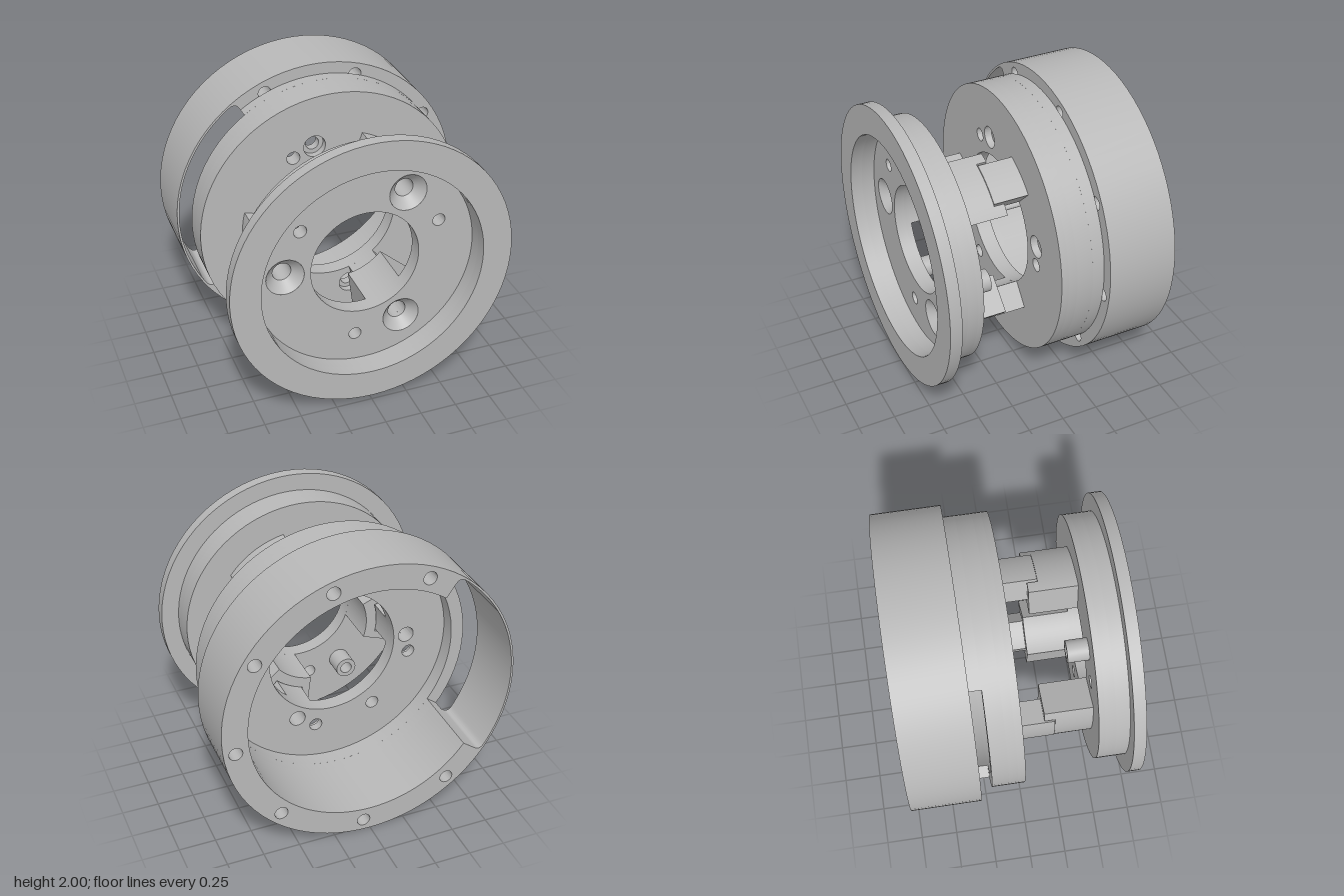
import * as THREE from 'three';
import { toCreasedNormals } from 'three/addons/utils/BufferGeometryUtils.js';

const rad = (deg) => deg * Math.PI / 180;
const polar = (r, deg) => [r * Math.cos(rad(deg)), r * Math.sin(rad(deg))];

// Angles of the features around the axis
const SCREWS = [58.5, 178.5, 298.5];
const PINS = [-1.5, 118.5, 238.5];
const VENTS = [23, 143, 263];
const BOLTS = [12.5, 102.5, 192.5, 282.5];
const RIM_HOLES = [-127, -87, -47, -7, 33, 73, 113];
const POCKET = [125, 216];

export function createModel() {
  const model = new THREE.Group();
  const grey = new THREE.MeshStandardMaterial({ color: 0xb8b8b8 });
  grey.name = 'machined grey';

  const circle = (r, x = 0, y = 0) => new THREE.Path().absarc(x, y, r, 0, Math.PI * 2, false);
  const holesAt = (angles, r, size) => angles.map((a) => circle(size, ...polar(r, a)));
  const disc = (r, holes) => {
    const s = new THREE.Shape().absarc(0, 0, r, 0, Math.PI * 2, false);
    s.holes.push(...holes);
    return s;
  };
  // Ring segment between two radii and two angles
  const sector = (r0, r1, a0, a1, holes = []) => {
    const s = new THREE.Shape();
    s.absarc(0, 0, r1, rad(a0), rad(a1), false);
    s.absarc(0, 0, r0, rad(a1), rad(a0), true);
    s.closePath();
    s.holes.push(...holes);
    return s;
  };
  // Slab of a shape between two depths
  const slab = (parent, name, shape, z0, z1, curveSegments = 40) => {
    const geo = new THREE.ExtrudeGeometry(shape, { depth: z1 - z0, bevelEnabled: false, curveSegments });
    const mesh = new THREE.Mesh(toCreasedNormals(geo, 0.5), grey);
    mesh.position.z = z0;
    mesh.name = name;
    parent.add(mesh);
    return mesh;
  };
  const group = (name) => {
    const g = new THREE.Group();
    g.name = name;
    g.position.y = 1;
    model.add(g);
    return g;
  };

  // Front hub: flange, recessed wall and plate with countersunk holes
  const front = group('frontHub');
  slab(front, 'frontFlange', disc(0.95, [circle(0.75)]), 0.69, 0.77);
  slab(front, 'frontWall', disc(0.83, [circle(0.75)]), 0.6, 0.69);
  const vents = () => holesAt(VENTS, 0.546, 0.043);
  slab(front, 'frontPlateOuter',
    disc(0.83, [circle(0.37), ...vents(), ...holesAt(SCREWS, 0.54, 0.127)]), 0.53, 0.6);
  slab(front, 'frontPlateInner',
    disc(0.83, [circle(0.37), ...vents(), ...holesAt(SCREWS, 0.54, 0.062)]), 0.49, 0.53);

  for (const a of SCREWS) {
    const [x, y] = polar(0.54, a);
    // Countersink cone, facing inwards
    const cone = new THREE.Mesh(new THREE.LatheGeometry(
      [new THREE.Vector2(0.127, 0.07), new THREE.Vector2(0.062, 0)], 40),
    new THREE.MeshStandardMaterial());
    cone.material = coneMaterial(grey);
    cone.rotation.x = Math.PI / 2;
    cone.position.set(x, y, 0.53);
    cone.name = 'countersink';
    front.add(cone);

    // Standoff block, with a notch at its end that receives the rear post
    slab(front, 'standoffBlock', sector(0.37, 0.63, a - 21, a + 21, [circle(0.062, x, y)]), 0.24, 0.49, 20);
    slab(front, 'notchBack', sector(0.37, 0.445, a - 21, a + 21), 0.17, 0.24, 20);
    slab(front, 'notchCheek', sector(0.445, 0.63, a - 21, a - 14), 0.17, 0.24, 8);
    slab(front, 'notchCheek', sector(0.445, 0.63, a + 14, a + 21), 0.17, 0.24, 8);
  }
  // Hollow locating pins between the blocks
  for (const a of PINS) {
    const pin = slab(front, 'locatingPin', disc(0.073, [circle(0.042)]), 0.35, 0.49, 16);
    const [x, y] = polar(0.57, a);
    pin.position.set(x, y, 0.35);
  }

  // Rear drum: plate with counterbored bolt holes
  const rear = group('rearDrum');
  const plateHoles = () => [circle(0.45), ...holesAt(SCREWS, 0.54, 0.056), ...holesAt(PINS, 0.57, 0.045)];
  slab(rear, 'rearPlateFront', disc(0.92, [...plateHoles(), ...holesAt(BOLTS, 0.575, 0.075)]), -0.05, 0);
  slab(rear, 'rearPlateBack', disc(0.92, [...plateHoles(), ...holesAt(BOLTS, 0.575, 0.045)]), -0.11, -0.05);

  // Posts that fit into the block notches
  for (const a of SCREWS) {
    slab(rear, 'rearPost',
      sector(0.45, 0.635, a - 13, a + 12.5, [circle(0.056, ...polar(0.54, a))]), 0, 0.238, 20);
  }

  // Narrow step of the drum, open along the side pocket
  slab(rear, 'drumStep', disc(0.92, [circle(0.83)]), -0.22, -0.11);
  slab(rear, 'drumStepOpen', sector(0.83, 0.92, POCKET[1], POCKET[0] + 360), -0.3, -0.22);

  // Wide rim: bore widened by a round-cornered pocket on one side
  const [p0, p1] = POCKET;
  const bore = new THREE.Path();
  bore.absarc(0, 0, 0.83, rad(p1), rad(p0 + 360), false);
  bore.lineTo(...polar(0.94, p0));
  bore.quadraticCurveTo(...polar(0.985, p0), ...polar(0.985, p0 + 3));
  bore.absarc(0, 0, 0.985, rad(p0 + 3), rad(p1 - 3), false);
  bore.quadraticCurveTo(...polar(0.985, p1), ...polar(0.94, p1));
  bore.closePath();
  slab(rear, 'drumRim', disc(1, [bore, ...holesAt(RIM_HOLES, 0.92, 0.045)]), -0.77, -0.3);

  return model;
}

// Same grey, drawn from both sides for open surfaces
let doubleGrey = null;
function coneMaterial(base) {
  if (!doubleGrey) {
    doubleGrey = base.clone();
    doubleGrey.side = THREE.DoubleSide;
    doubleGrey.name = 'machined grey open';
  }
  return doubleGrey;
}
